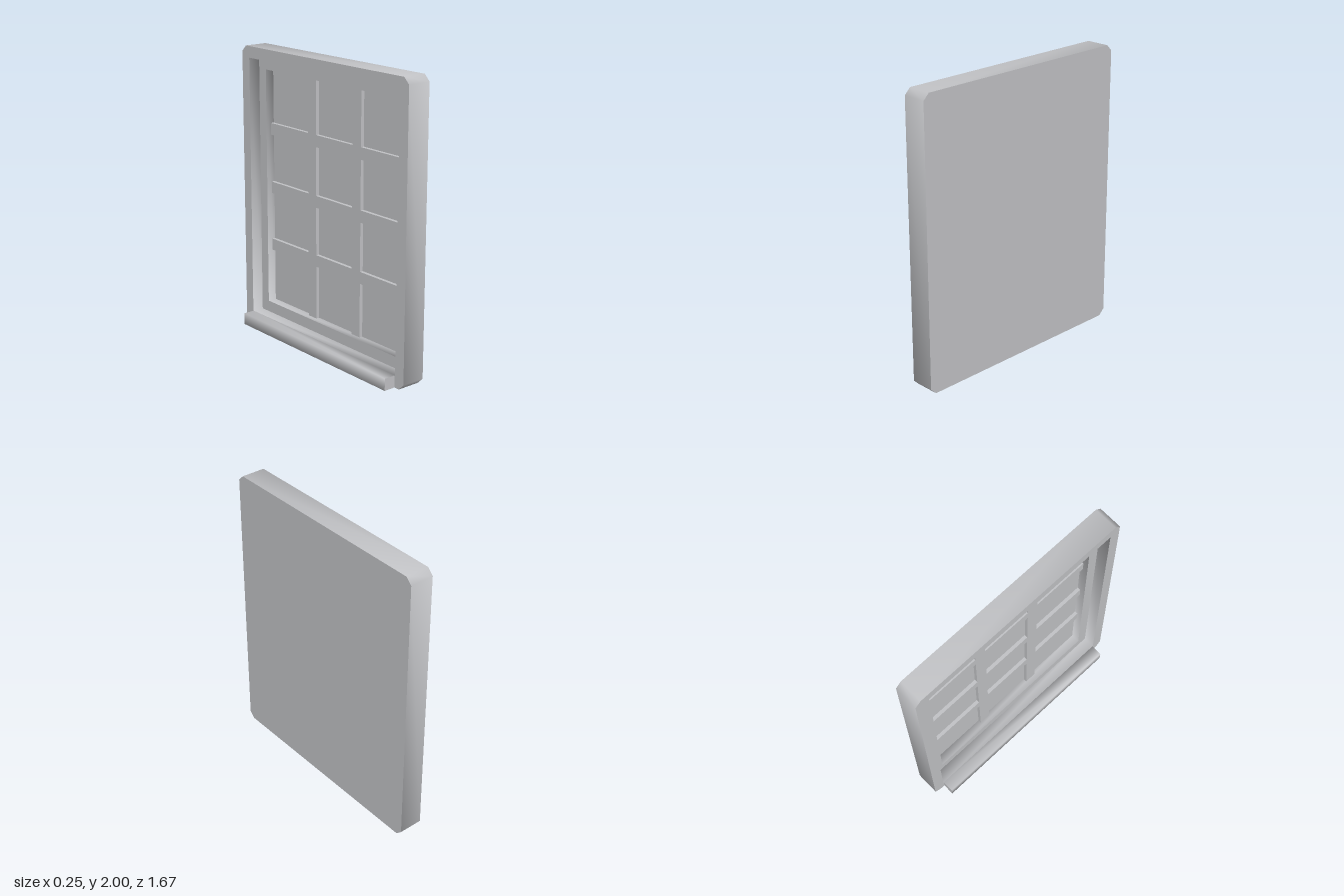
import * as THREE from 'three';
import { toCreasedNormals } from 'three/addons/utils/BufferGeometryUtils.js';

const FRONT = -0.042, STEP = 0.042, PANEL = 0.105, BACK = 0.125;

// Counter-clockwise rectangle with optional cut corners
function outline(w, h, c = 0) {
  const pts = c
    ? [[w - c, -h], [w, c - h], [w, h - c], [w - c, h], [c - w, h], [-w, h - c], [-w, c - h], [c - w, -h]]
    : [[-w, -h], [w, -h], [w, h], [-w, h]];
  return pts.map(([x, y]) => new THREE.Vector2(x, y));
}

// Smooth band following an outline from depth a to b
function band(pts, a, b, inward = false) {
  const loop = inward ? [...pts].reverse() : pts;
  const pos = [];
  loop.forEach((p, i) => {
    const q = loop[(i + 1) % loop.length];
    pos.push(p.x, p.y, a, q.x, q.y, a, q.x, q.y, b);
    pos.push(p.x, p.y, a, q.x, q.y, b, p.x, p.y, b);
  });
  const geo = new THREE.BufferGeometry();
  geo.setAttribute('position', new THREE.Float32BufferAttribute(pos, 3));
  return toCreasedNormals(geo, Math.PI * 0.6);
}

// Flat face at a depth, facing forward (1) or backward (-1)
function face(pts, depth, dir, hole) {
  const shape = new THREE.Shape(pts);
  if (hole) shape.holes.push(new THREE.Path(hole));
  const geo = new THREE.ShapeGeometry(shape);
  if (dir < 0) geo.rotateY(Math.PI);
  return geo.translate(0, 0, depth);
}

export function createModel() {
  const grey = new THREE.MeshStandardMaterial({ color: 0xc0c1c4 });
  grey.name = 'paleGrey';
  const model = new THREE.Group();
  model.name = 'window';

  const add = (parent, name, geo) => {
    const mesh = new THREE.Mesh(geo, grey);
    mesh.name = name;
    parent.add(mesh);
    return mesh;
  };

  // Frame and panes are drawn upright, then turned so depth runs along x
  const body = new THREE.Group();
  body.name = 'windowBody';
  body.rotation.y = Math.PI / 2;
  body.position.y = 1;
  model.add(body);

  const outer = outline(0.833, 1, 0.042);
  const opening = outline(0.755, 0.92);
  const inner = outline(0.68, 0.84);

  // Stepped frame
  add(body, 'frameOuterEdge', band(outer, FRONT, BACK));
  add(body, 'frameRim', face(outer, FRONT, -1, opening));
  add(body, 'frameReveal', band(opening, FRONT, STEP, true));
  add(body, 'innerLip', face(opening, STEP, -1, inner));
  add(body, 'innerReveal', band(inner, STEP, PANEL, true));
  add(body, 'panePanel', face(inner, PANEL, -1));
  add(body, 'backPanel', face(outer, BACK, 1));

  // Glazing bars: two upright, three across
  const barDepth = 0.024, barWidth = 0.083;
  for (const x of [-0.227, 0.227]) {
    add(body, 'verticalBar', new THREE.BoxGeometry(barWidth, 1.68, barDepth))
      .position.set(x, 0, PANEL - barDepth / 2);
  }
  for (const y of [-0.42, 0, 0.42]) {
    add(body, 'horizontalBar', new THREE.BoxGeometry(1.36, barWidth, barDepth))
      .position.set(0, y, PANEL - barDepth / 2);
  }

  // Sill with smooth long sides and flat ends
  const sill = new THREE.Group();
  sill.name = 'sill';
  sill.position.set(-0.0835, 0.0415, 0);
  model.add(sill);
  const profile = outline(0.0415, 0.0415);
  add(sill, 'sillSides', band(profile, -0.75, 0.75));
  for (const dir of [-1, 1]) add(sill, 'sillEnd', face(profile, 0.75 * dir, dir));

  return model;
}
